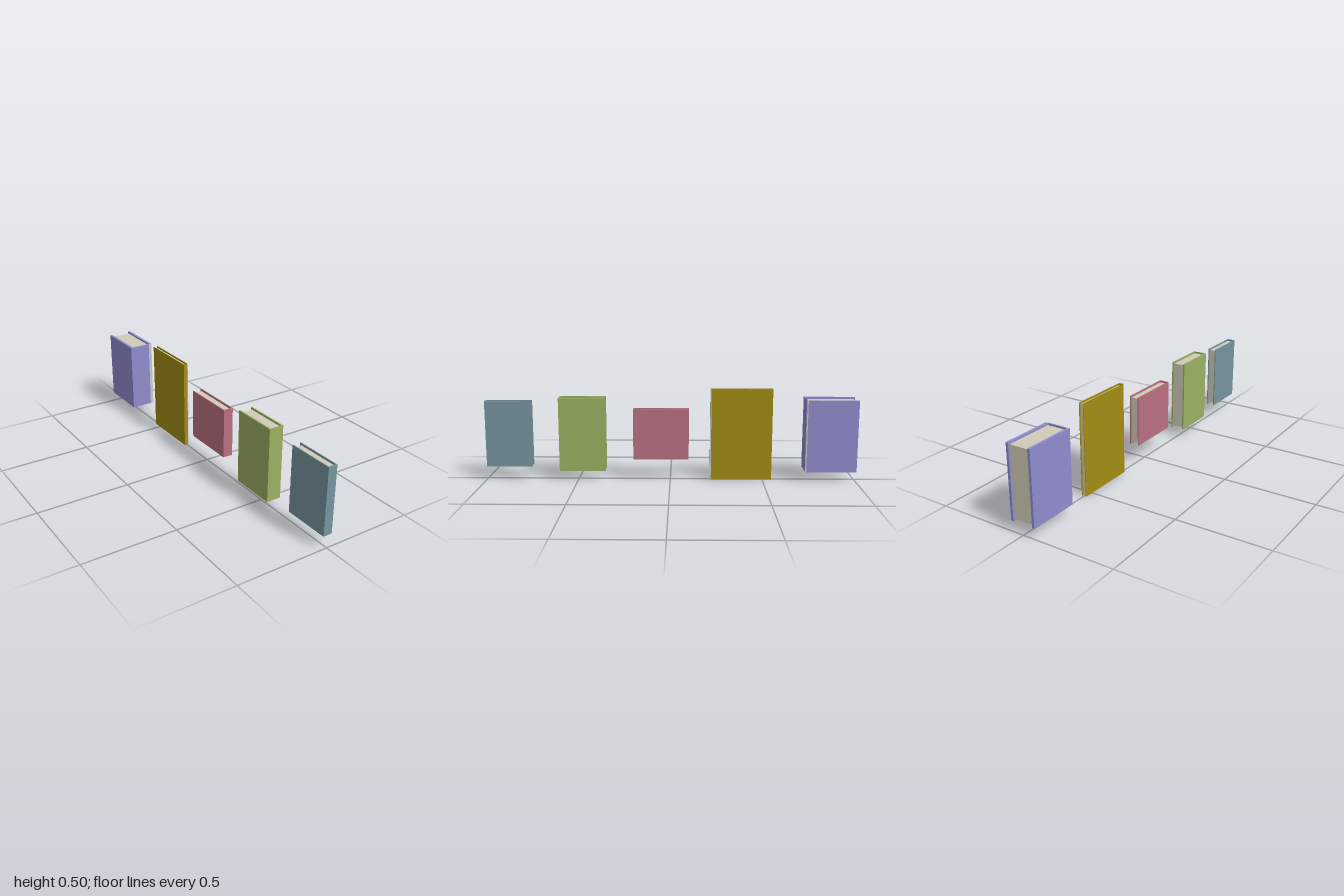
import * as THREE from 'three';

// Each book: cover colour, width, bottom, top, back, front, and the pale strip on the spine edge
const BOOKS = [
  { color: 0x77959f, w: 0.049, y0: 0.07, y1: 0.43, z0: 0.75, z1: 1.0, strip: 0 },
  { color: 0x9bb163, w: 0.08, y0: 0.05, y1: 0.45, z0: 0.35, z1: 0.6, strip: 0 },
  { color: 0xba7081, w: 0.055, y0: 0.113, y1: 0.387, z0: -0.1, z1: 0.2, strip: 0 },
  { color: 0xa38d14, w: 0.026, y0: 0, y1: 0.497, z0: -0.55, z1: -0.215, strip: 0.004 },
  { color: 0x908dcf, w: 0.138, y0: 0.055, y1: 0.445, z0: -1.0, z1: -0.725, strip: 0.018 },
];

const pageMaterial = new THREE.MeshStandardMaterial({ color: 0xd0cbb9 });
const greyMaterial = new THREE.MeshStandardMaterial({ color: 0xcccccc });

// Box given by its two opposite corners
function block(name, material, [x0, y0, z0], [x1, y1, z1]) {
  const mesh = new THREE.Mesh(new THREE.BoxGeometry(x1 - x0, y1 - y0, z1 - z0), material);
  mesh.position.set((x0 + x1) / 2, (y0 + y1) / 2, (z0 + z1) / 2);
  mesh.name = name;
  return mesh;
}

function makeBook({ color, w, y0, y1, z0, z1, strip }) {
  const book = new THREE.Group();
  book.name = 'book';
  const cover = new THREE.MeshStandardMaterial({ color });
  const h = w / 2;
  const board = w * 0.1;
  const spine = 0.006;
  const inset = 0.01;
  const zs = z1 - spine;

  // Two cover boards running back from the spine
  book.add(block('rightCover', cover, [-h, y0, z0], [-h + board, y1, zs]));
  book.add(block('leftCover', cover, [h - board, y0, z0], [h, y1, zs]));

  // Spine across the front, with a pale strip along one edge on some books
  book.add(block('spine', cover, [-h, y0, zs], [h - strip, y1, z1]));
  if (strip) book.add(block('spineStrip', greyMaterial, [h - strip, y0, zs], [h, y1, z1]));

  // Page block set back from the cover edges
  book.add(block('pages', pageMaterial,
    [-h + board, y0 + inset, z0 + inset], [h - board, y1 - inset, zs]));
  return book;
}

export function createModel() {
  const model = new THREE.Group();
  model.name = 'bookRow';
  for (const spec of BOOKS) model.add(makeBook(spec));
  return model;
}
